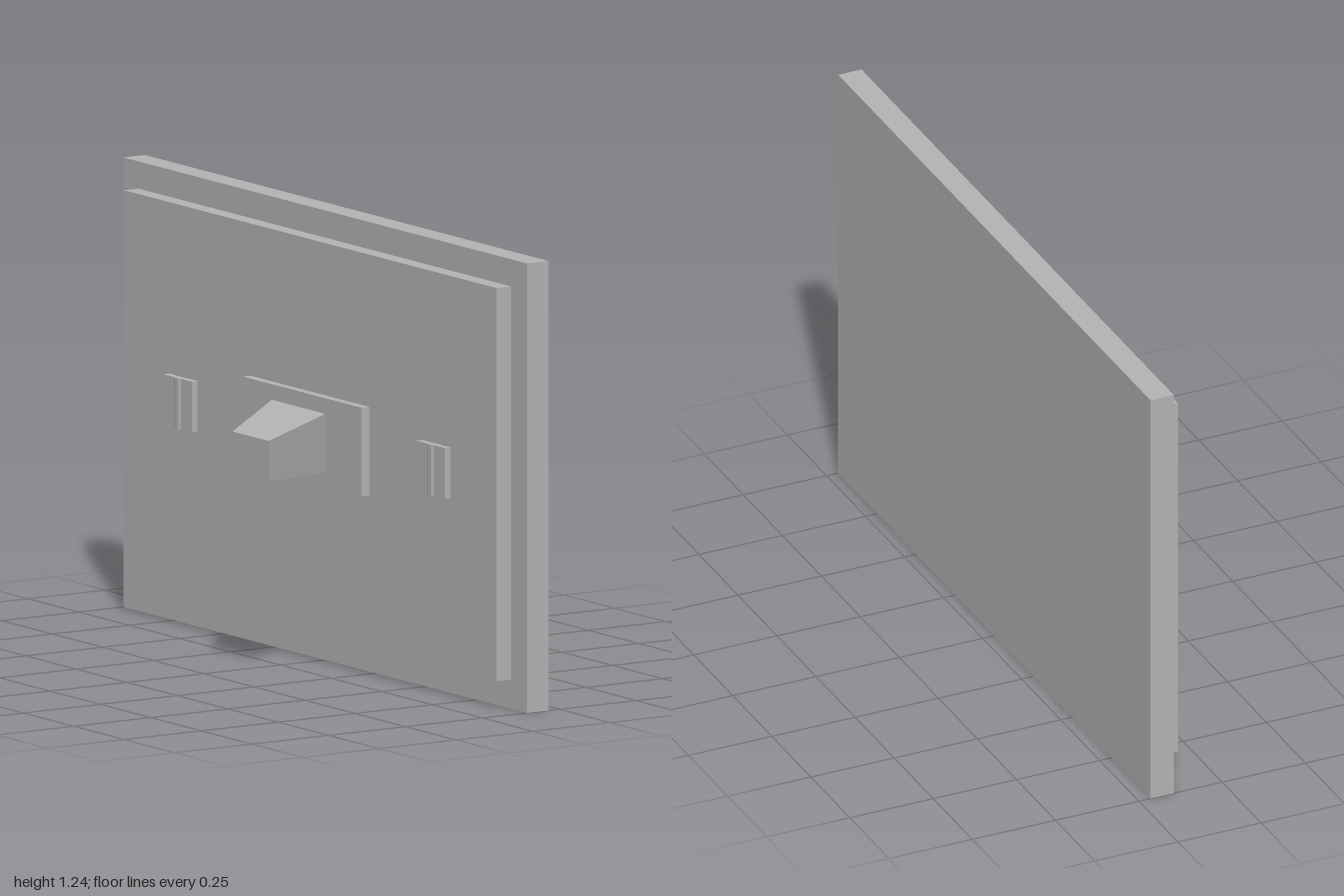
import * as THREE from 'three';

export function createModel() {
  const model = new THREE.Group();
  model.name = 'wallSwitch';
  const grey = new THREE.MeshStandardMaterial({ color: 0xb4b4b4, flatShading: true });
  grey.name = 'plain grey';

  // Block whose -x end and +x end are separate rectangles: [y0, y1, z0, z1]
  function block(name, x0, x1, near, far = near) {
    const geometry = new THREE.BoxGeometry(1, 1, 1);
    const p = geometry.attributes.position;
    for (let i = 0; i < p.count; i++) {
      const end = p.getX(i) < 0 ? near : far;
      p.setXYZ(i,
        p.getX(i) < 0 ? x0 : x1,
        p.getY(i) < 0 ? end[0] : end[1],
        p.getZ(i) < 0 ? end[2] : end[3]);
    }
    geometry.computeVertexNormals();
    const mesh = new THREE.Mesh(geometry, grey);
    mesh.name = name;
    model.add(mesh);
  }

  // Stepped wall plate
  block('backPlate', 0.145, 0.215, [0, 1.24, -1, 1]);
  block('facePlate', 0.098, 0.145, [0.08, 1.165, -0.925, 0.92]);

  // Toggle with its raised surround, tilted towards +z
  block('toggleSurround', 0.073, 0.098, [0.5, 0.745, -0.3, 0.29]);
  block('toggleLever', -0.215, 0.073, [0.565, 0.678, 0.09, 0.27], [0.542, 0.702, -0.155, 0.11]);

  // Square screw heads with a slim central ridge
  for (const z of [-0.63, 0.623]) {
    block('screwHead', 0.079, 0.098, [0.552, 0.692, z - 0.07, z + 0.07]);
    block('screwRidge', 0.075, 0.079, [0.552, 0.692, z - 0.008, z + 0.008], [0.552, 0.692, z - 0.016, z + 0.016]);
  }
  return model;
}
